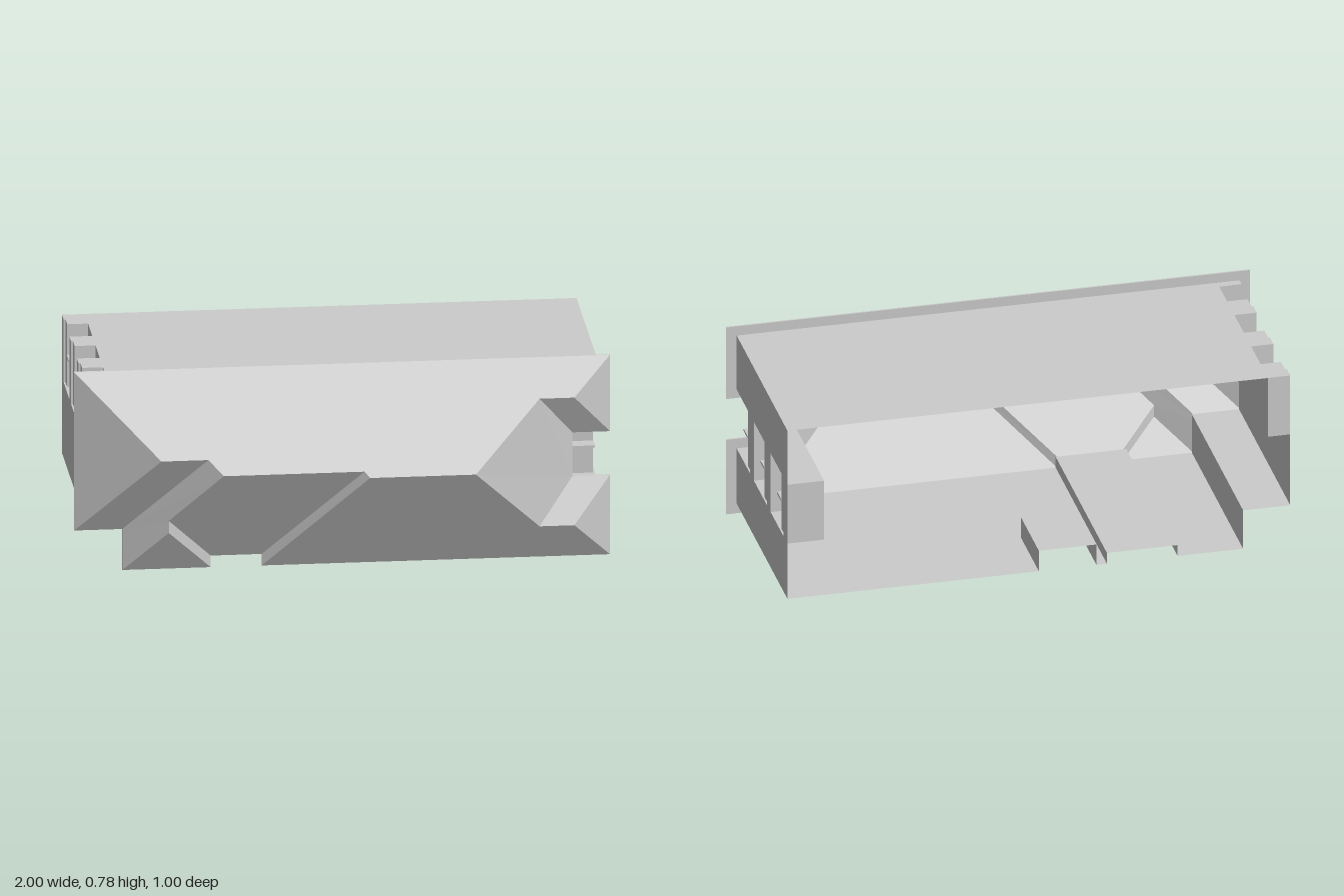
import * as THREE from 'three';

const BACK = -0.5, RIM = 0.301, FRONT = 0.308;

// Flange outline and its inset, counter-clockwise from the left step
const outline = [[-1, .16], [-.82, .16], [-.82, 0], [-.49, 0], [-.49, .045], [-.3, .045], [-.3, 0],
  [1, 0], [1, .31], [.86, .31], [.86, .48], [1, .48], [1, .778], [-1, .778]];
const inset = [[-.96, .2], [-.78, .2], [-.78, .04], [-.53, .04], [-.53, .085], [-.26, .085], [-.26, .04],
  [.96, .04], [.96, .27], [.82, .27], [.82, .515], [.96, .515], [.96, .74], [-.96, .74]];

// Ridge nodes of the hipped front: x, y, distance from the edge
const ridge = {
  A: [-.69, .468, .31], B: [-.515, .468, .31], C: [-.46, .412, .366], D: [.065, .412, .366],
  E: [.085, .39, .388], F: [.48, .39, .388], G: [.73, .638, .14], H: [.86, .638, .14],
  I: [-.655, .165, .165], J: [-.655, .212, .165], K: [.73, .14, .14], L: [.86, .14, .14]
};
// Ridge nodes closing the slope above each outline edge
const slopes = ['BA', 'IJCB', 'I', 'JI', 'DCJ', 'ED', 'LKFE', 'L', 'KL', 'GFK', 'HG', 'H', 'ABCDEFGH', 'A'];

function createModel() {
  const group = new THREE.Group();
  const material = new THREE.MeshStandardMaterial({ color: 0xcccccc, flatShading: true, side: THREE.DoubleSide });

  const add = (name, geometry) => {
    const mesh = new THREE.Mesh(geometry, material);
    mesh.name = name;
    group.add(mesh);
    return mesh;
  };
  const box = (name, x0, x1, y0, y1, z0, z1) =>
    add(name, new THREE.BoxGeometry(x1 - x0, y1 - y0, z1 - z0))
      .position.set((x0 + x1) / 2, (y0 + y1) / 2, (z0 + z1) / 2);
  const skin = (name, positions) => {
    const geometry = new THREE.BufferGeometry();
    geometry.setAttribute('position', new THREE.Float32BufferAttribute(positions, 3));
    geometry.computeVertexNormals();
    add(name, geometry);
  };
  const toVectors = pts => pts.map(p => new THREE.Vector2(p[0], p[1]));

  // Flange ring
  const ring = new THREE.Shape(toVectors(outline));
  ring.holes.push(new THREE.Path(toVectors(inset).reverse()));
  const flange = new THREE.ExtrudeGeometry(ring, { depth: FRONT - RIM, bevelEnabled: false });
  flange.translate(0, 0, RIM);
  add('flange', flange);

  // Hipped front: one sloping face per outline edge
  const front = [];
  slopes.forEach((keys, i) => {
    const corners = [outline[i], outline[(i + 1) % outline.length], ...[...keys].map(k => ridge[k])];
    for (const tri of THREE.ShapeUtils.triangulateShape(toVectors(corners), [])) {
      for (const j of tri) {
        const [x, y, d = 0] = corners[j];
        front.push(x, y, FRONT + d * (0.5 - FRONT) / 0.388);
      }
    }
  });
  skin('hippedFront', front);

  // Open-backed body: thin walls swept along z
  const walls = [];
  const wall = ([x0, y0], [x1, y1], z0 = BACK, z1 = RIM) => walls.push(
    x0, y0, z0, x1, y1, z1, x1, y1, z0, x0, y0, z0, x0, y0, z1, x1, y1, z1);
  const section = [...inset.slice(0, 13), [-.875, .74], [-.875, .495], [-.96, .495]];
  section.forEach((p, i) => {
    if (i !== 6) wall(p, section[(i + 1) % section.length]);
  });

  // Main floor with a raised pocket at the back edge
  const pocketFront = -.22;
  wall([-.26, .04], [-.22, .04]);
  wall([-.22, .04], [0, .04], pocketFront);
  wall([0, .04], [.96, .04]);
  wall([-.22, .04], [-.22, .125], BACK, pocketFront);
  wall([-.22, .125], [0, .125], BACK, pocketFront);
  wall([0, .125], [0, .04], BACK, pocketFront);
  skin('bodyWalls', walls);
  box('floorPocketEnd', -.22, 0, .04, .125, pocketFront - .002, pocketFront);

  // Blocks between the side windows, each with a shallow step and a divider
  for (const z of [.152, -.112, -.376]) {
    const end = z < -.3 ? BACK : z - .123;
    box('rightBlockStep', .82, .953, .27, .515, z - .062, z);
    box('rightBlock', .82, .96, .27, .515, end, z - .062);
    box('rightDivider', .82, .955, .386, .395, z, z + .06);

    const t = z - .008;
    box('leftBlockStep', -.953, -.875, .495, .74, t - .06, t);
    box('leftBlock', -.96, -.875, .495, .74, end, t - .06);
    box('leftDivider', -.955, -.875, .612, .621, t, t + .06);
  }
  box('leftFrontBlock', -.96, -.875, .495, .74, .268, RIM);

  return group;
}

export { createModel };
